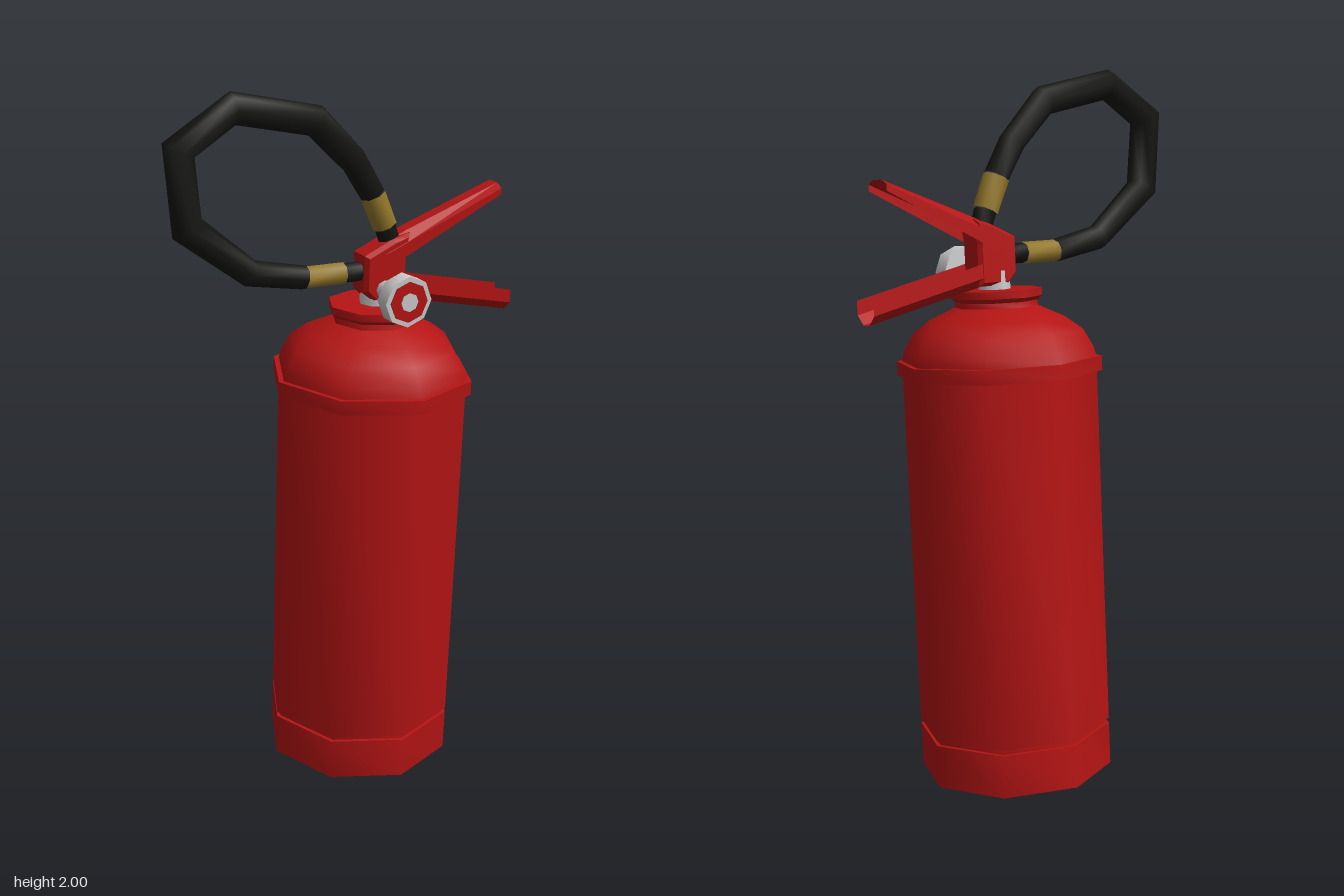
import * as THREE from 'three';
import { toCreasedNormals } from 'three/addons/utils/BufferGeometryUtils.js';

const mat = (color, extra = {}) => new THREE.MeshStandardMaterial({ color, ...extra });
const RED = 0xb51414;
const red = mat(RED), black = mat(0x141412), gold = mat(0x94782a), grey = mat(0xcccccc);
const redSheet = mat(RED, { side: THREE.DoubleSide, flatShading: true });

// Skin between successive rings of points
function loft(rings, closed) {
  const n = rings[0].length, index = [];
  for (let i = 0; i < rings.length - 1; i++) {
    for (let j = 0; j < (closed ? n : n - 1); j++) {
      const a = i * n + j, b = i * n + (j + 1) % n;
      index.push(a, b, a + n, b, b + n, a + n);
    }
  }
  const g = new THREE.BufferGeometry();
  g.setAttribute('position', new THREE.Float32BufferAttribute(rings.flat(2), 3));
  g.setIndex(index);
  g.computeVertexNormals();
  return g;
}

// Mitred octagonal hose along [x, y, radius] points
function hosePiece(points) {
  const rings = points.map(([x, y, r], i) => {
    const dir = (a, b) => new THREE.Vector2(b[0] - a[0], b[1] - a[1]).normalize();
    const before = i > 0 ? dir(points[i - 1], points[i]) : dir(points[0], points[1]);
    const after = i < points.length - 1 ? dir(points[i], points[i + 1]) : before;
    const t = before.clone().add(after).normalize();
    const wide = r / t.dot(after);
    return Array.from({ length: 8 }, (_, j) => {
      const a = j * Math.PI / 4, c = Math.cos(a) * wide;
      return [x - t.y * c, y + t.x * c, Math.sin(a) * r];
    });
  });
  return loft(rings, true);
}

// Bent-sheet lever along [x, y of folded back, y of open edge] stations
function lever(stations, half, backHalf) {
  return loft(stations.map(([x, back, edge]) => {
    const knee = THREE.MathUtils.lerp(back, edge, 0.4);
    return [[-half, edge], [-half, knee], [-backHalf, back], [backHalf, back], [half, knee], [half, edge]]
      .map(([z, y]) => [x, y, z]);
  }), false);
}

export function createModel() {
  const root = new THREE.Group();
  root.name = 'fireExtinguisher';
  // The whole extinguisher leans slightly forward
  const lean = new THREE.Group();
  lean.name = 'leaningAssembly';
  lean.rotation.x = 0.064;
  lean.position.z = -0.046;
  root.add(lean);

  const add = (name, geometry, material, x = 0, y = 0, z = 0) => {
    const m = new THREE.Mesh(geometry, material);
    m.name = name;
    m.position.set(x, y, z);
    lean.add(m);
    return m;
  };

  // Tank: base ring, groove, body, rim, shoulder and neck collar
  const profile = [
    [0, 0.022], [0.275, 0.022], [0.275, 0.143], [0.264, 0.143], [0.264, 0.157], [0.275, 0.157],
    [0.275, 1.168], [0.29, 1.168], [0.29, 1.208], [0.275, 1.208], [0.268, 1.235], [0.24, 1.285],
    [0.19, 1.322], [0.118, 1.355], [0.115, 1.37], [0.13, 1.382], [0.13, 1.403], [0, 1.403],
  ].map(([r, y]) => new THREE.Vector2(r, y));
  add('tank', toCreasedNormals(new THREE.LatheGeometry(profile, 8), 0.85), red, 0.091);

  // Valve stem and head
  add('valveStem', new THREE.CylinderGeometry(0.045, 0.045, 0.06, 8), grey, 0.095, 1.425);
  const outline = [[0.05, 1.45], [0.075, 1.425], [0.16, 1.425], [0.16, 1.53], [0.17, 1.59],
    [0.13, 1.577], [0.05, 1.54]].map(([x, y]) => new THREE.Vector2(x, y));
  const headGeometry = new THREE.ExtrudeGeometry(new THREE.Shape(outline), {
    depth: 0.06, bevelThickness: 0.012, bevelSize: 0.01, bevelSegments: 1,
  });
  headGeometry.translate(0, 0, -0.03);
  add('valveHead', headGeometry, red);

  // Squeeze levers
  add('upperLever', lever([[0.1, 1.573, 1.51], [0.17, 1.604, 1.54], [0.464, 1.715, 1.686]], 0.043, 0.02), redSheet);
  add('lowerLever', lever([[0.12, 1.42, 1.485], [0.522, 1.338, 1.402]], 0.04, 0.014), redSheet);

  // Front gauge on its stem, with a red dial and grey centre
  const disc = (name, r, depth, z, material) => {
    const g = new THREE.CylinderGeometry(r, r, depth, 8).rotateX(Math.PI / 2);
    add(name, toCreasedNormals(g, 0.85), material, 0.1, 1.45, z);
  };
  disc('gaugeStem', 0.026, 0.11, 0.085, grey);
  disc('gaugeBody', 0.071, 0.046, 0.15, grey);
  disc('gaugeDial', 0.057, 0.004, 0.174, red);
  disc('gaugeCentre', 0.026, 0.004, 0.177, grey);

  // Looped hose with a brass ferrule near each end
  add('hoseLowerEnd', hosePiece([[0.07, 1.497, 0.028], [-0.01, 1.497, 0.028]]), black);
  add('lowerFerrule', hosePiece([[-0.01, 1.497, 0.031], [-0.128, 1.497, 0.031]]), gold);
  add('hose', hosePiece([
    [-0.128, 1.497, 0.033], [-0.29, 1.526, 0.036], [-0.47, 1.663, 0.043], [-0.493, 1.866, 0.042],
    [-0.344, 1.963, 0.041], [-0.107, 1.918, 0.041], [0.012, 1.804, 0.038], [0.073, 1.71, 0.036],
  ]), black);
  add('upperFerrule', hosePiece([[0.073, 1.71, 0.038], [0.115, 1.62, 0.036]]), gold);
  add('hoseUpperEnd', hosePiece([[0.115, 1.62, 0.032], [0.142, 1.55, 0.03]]), black);

  return root;
}
